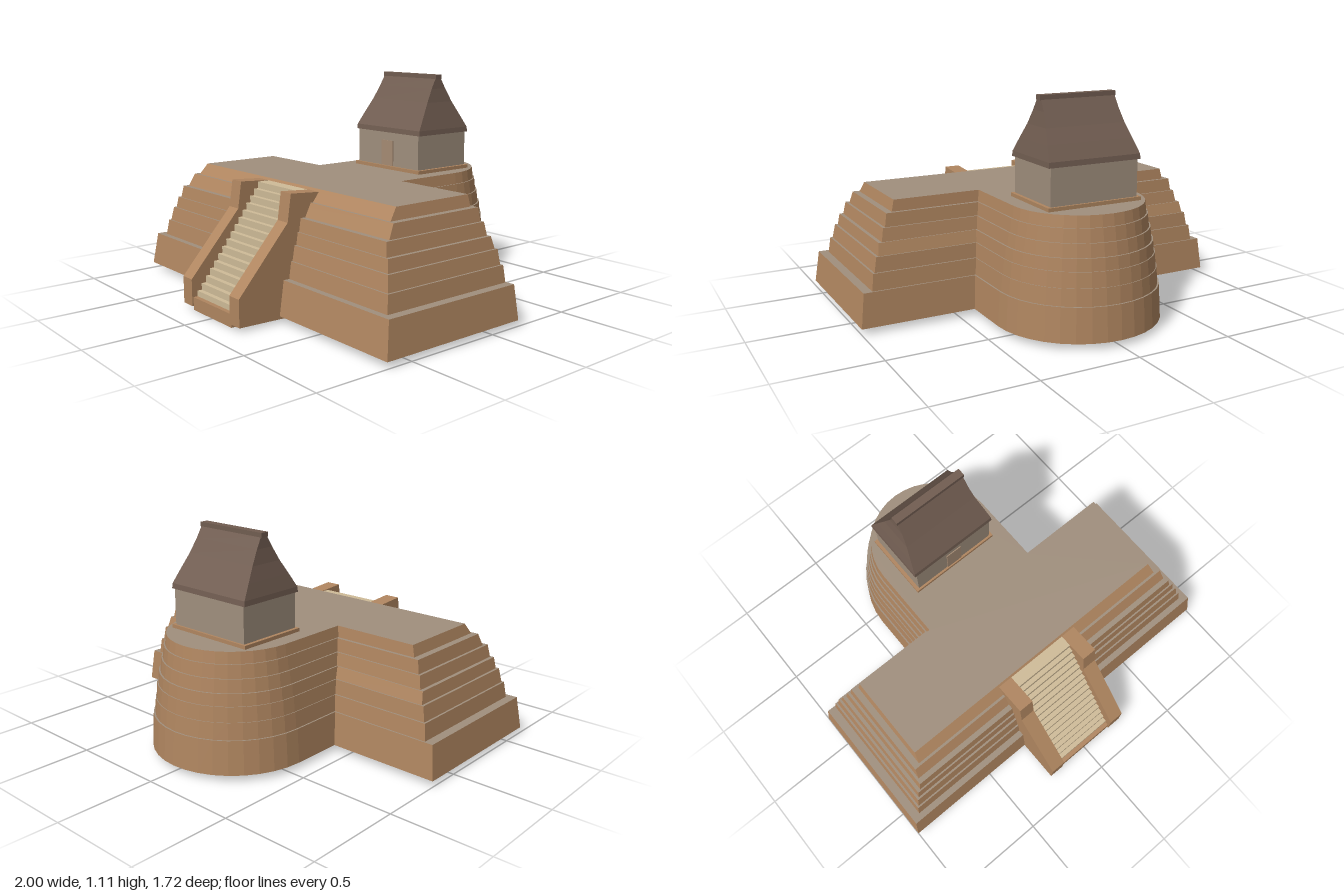
import * as THREE from 'three';

const mat = (name, color, side = THREE.FrontSide) => {
  const m = new THREE.MeshStandardMaterial({ color, side });
  m.name = name;
  return m;
};

// Flat-sided skin through closed rings of Vector3, listed bottom to top
function loft(rings) {
  const pos = [];
  for (let k = 0; k < rings.length - 1; k++) {
    const lo = rings[k], hi = rings[k + 1], n = lo.length;
    for (let i = 0; i < n; i++) {
      const j = (i + 1) % n;
      for (const p of [lo[i], lo[j], hi[j], lo[i], hi[j], hi[i]]) pos.push(p.x, p.y, p.z);
    }
  }
  const g = new THREE.BufferGeometry();
  g.setAttribute('position', new THREE.Float32BufferAttribute(pos, 3));
  g.computeVertexNormals();
  return g;
}

// Wide front block with a round-ended wing behind it
function outline(y, hx, front, back, r) {
  const zc = -0.44, steps = 18;
  const pts = [[hx, front], [hx, back], [r, back]];
  for (let i = 0; i <= steps; i++) {
    const a = Math.PI * i / steps;
    pts.push([r * Math.cos(a), zc - r * Math.sin(a)]);
  }
  pts.push([-r, back], [-hx, back], [-hx, front]);
  return pts.map(([x, z]) => new THREE.Vector3(x, y, z));
}

function rect(y, hx, hz, zc) {
  return [[1, 1], [1, -1], [-1, -1], [-1, 1]].map(([a, b]) => new THREE.Vector3(a * hx, y, zc + b * hz));
}

// Extrude a (z, y) side profile across x0..x1
function sideExtrude(profile, x0, x1) {
  const shape = new THREE.Shape(profile.map(([z, y]) => new THREE.Vector2(-z, y)));
  const g = new THREE.ExtrudeGeometry(shape, { depth: x1 - x0, bevelEnabled: false });
  g.rotateY(Math.PI / 2);
  g.translate(x0, 0, 0);
  return g;
}

export function createModel() {
  const brick = mat('brick brown', 0xb08660);
  const brickShell = mat('brick brown shell', 0xb08660, THREE.DoubleSide);
  const plaster = mat('plaster grey', 0xa08f7d, THREE.DoubleSide);
  const tread = mat('tread sand', 0xcfbb98);
  const thatch = mat('thatch brown', 0x715d51, THREE.DoubleSide);
  const doorTan = mat('door tan', 0xa68c74);

  const model = new THREE.Group();
  const add = (name, geo, material, x = 0, y = 0, z = 0) => {
    const m = new THREE.Mesh(geo, material);
    m.name = name;
    m.position.set(x, y, z);
    model.add(m);
    return m;
  };
  const box = (name, material, w, y0, y1, z0, z1) =>
    add(name, new THREE.BoxGeometry(w, y1 - y0, z1 - z0), material, 0, (y0 + y1) / 2, (z0 + z1) / 2);

  // Tiers: y0, y1, then [half width, front, back, radius] at bottom and top
  const tiers = [
    [0.03, 0.2, [1, 0.637, -0.177, 0.42], [0.98, 0.612, -0.163, 0.41]],
    [0.2, 0.283, [0.935, 0.58, -0.155, 0.402], [0.925, 0.568, -0.147, 0.396]],
    [0.283, 0.357, [0.915, 0.56, -0.138, 0.392], [0.902, 0.547, -0.132, 0.386]],
    [0.357, 0.417, [0.89, 0.537, -0.125, 0.381], [0.88, 0.528, -0.108, 0.376]],
    [0.417, 0.482, [0.862, 0.52, -0.102, 0.368], [0.85, 0.51, -0.092, 0.361]],
    [0.482, 0.548, [0.837, 0.483, -0.083, 0.354], [0.826, 0.45, -0.077, 0.347]],
    [0.548, 0.605, [0.793, 0.437, -0.06, 0.34], [0.78, 0.393, -0.055, 0.333]],
  ];
  for (const [y0, y1, bottom, top] of tiers) {
    const rim = outline(y1, ...top);
    add('tierWall', loft([outline(y0, ...bottom), rim]), brickShell);
    const cap = new THREE.ShapeGeometry(new THREE.Shape(rim.map(p => new THREE.Vector2(p.x, -p.z))));
    cap.rotateX(-Math.PI / 2);
    add('tierTop', cap, plaster, 0, y1, 0);
  }

  // Staircase: stepped top with a sloping underside
  const steps = 16, z0 = 0.83, z1 = 0.44, y0 = 0.06, y1 = 0.593;
  const profile = [[z0, y0 - 0.02]];
  for (let i = 0; i < steps; i++) {
    const z = z0 + (z1 - z0) * i / steps, y = y0 + (y1 - y0) * (i + 1) / steps;
    profile.push([z, y], [z + (z1 - z0) / steps, y]);
  }
  profile.push([0.388, y1], [0.388, 0.53], [0.74, 0.04]);
  add('stairs', sideExtrude(profile, -0.17, 0.17), [brick, tread]);
  box('stairBase', brick, 0.34, 0, 0.065, 0.74, 0.853);

  // Sloping side walls of the stairs
  const ramp = [[0.86, 0.02], [0.86, 0.155], [0.585, 0.47], [0.565, 0.605],
    [0.39, 0.593], [0.39, 0.45], [0.52, 0.012]];
  add('leftStairWall', sideExtrude(ramp, 0.17, 0.25), brick);
  add('rightStairWall', sideExtrude(ramp, -0.25, -0.17), brick);

  // Shrine
  const zc = -0.437;
  box('shrinePlinth', brick, 0.505, 0.6, 0.623, zc - 0.185, zc + 0.185);
  box('shrineWalls', plaster, 0.47, 0.623, 0.81, zc - 0.174, zc + 0.174);
  box('door', doorTan, 0.09, 0.625, 0.76, zc + 0.172, zc + 0.179);

  // Roof sections: y, half width, half depth
  const sections = [[0.803, 0.235, 0.172], [0.804, 0.248, 0.18], [0.83, 0.246, 0.177], [0.9, 0.23, 0.134],
    [0.97, 0.213, 0.09], [1.04, 0.203, 0.05], [1.093, 0.2, 0.02]];
  add('roof', loft(sections.map(([y, hx, hz]) => rect(y, hx, hz, zc))), thatch);
  box('roofRidge', thatch, 0.41, 1.09, 1.113, zc - 0.021, zc + 0.021);

  return model;
}
